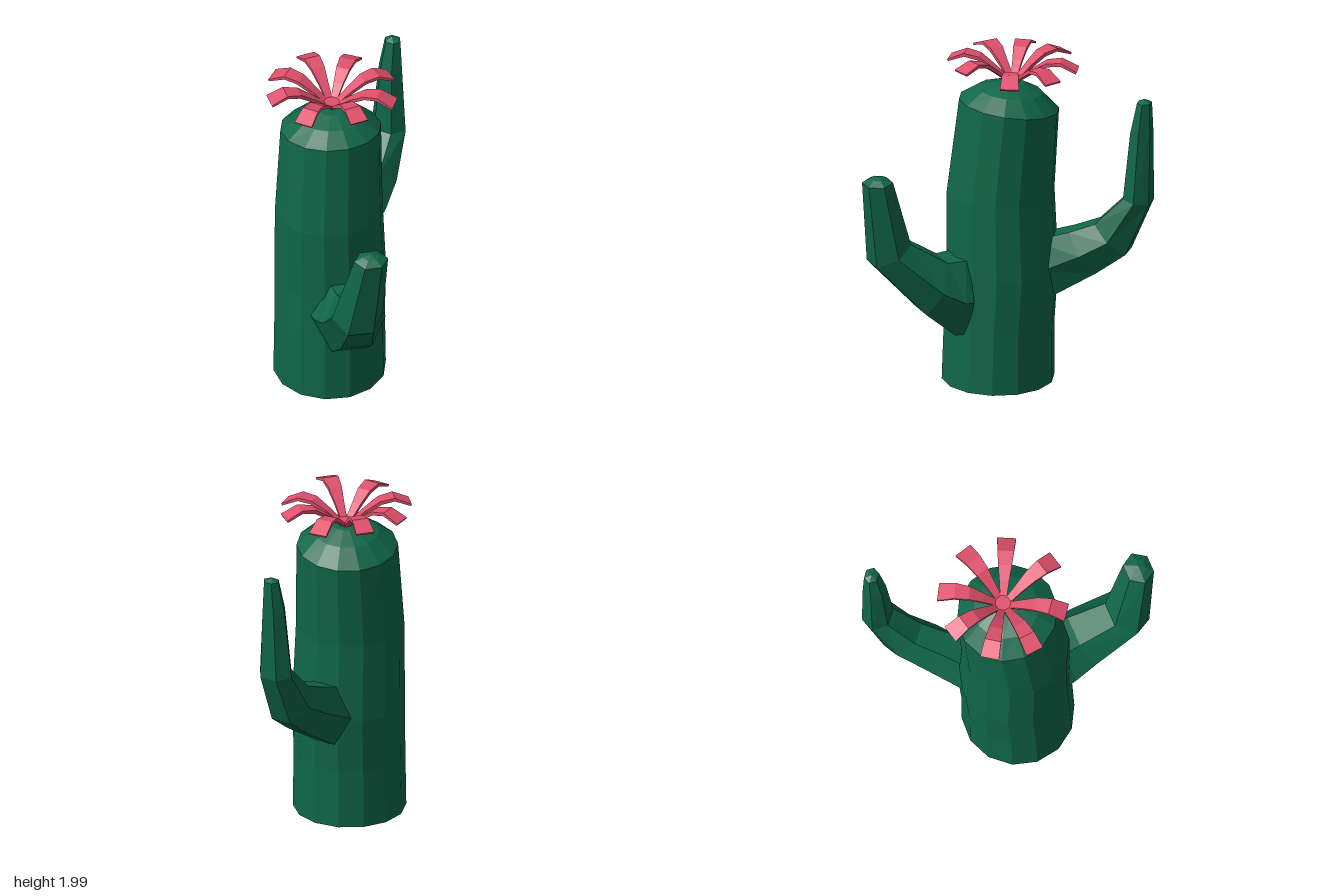
import * as THREE from 'three';

const rad = THREE.MathUtils.degToRad;

// Ring of n points around c, facing along azimuth az (from +x towards +z) and pitch, in degrees.
// w is the half width sideways, h the half height across the growth direction.
function ring(c, az, pitch, w, h, n, phase = 0) {
  const t = new THREE.Vector3(Math.cos(rad(az)), 0, Math.sin(rad(az)));
  const side = new THREE.Vector3(t.z, 0, -t.x);
  const up = new THREE.Vector3(0, Math.cos(rad(pitch)), 0).addScaledVector(t, -Math.sin(rad(pitch)));
  return Array.from({ length: n }, (_, j) => {
    const a = (j / n) * Math.PI * 2 + phase;
    return new THREE.Vector3(...c)
      .addScaledVector(side, Math.cos(a) * w)
      .addScaledVector(up, Math.sin(a) * h);
  });
}

// Skin joining successive rings, closed at both ends; tip may raise the end cap to a point
function loft(name, rings, material, tip) {
  const pos = [];
  const tri = (...pts) => pts.forEach((p) => pos.push(p.x, p.y, p.z));
  const middle = (r) => r.reduce((s, p) => s.add(p), new THREE.Vector3()).divideScalar(r.length);
  const n = rings[0].length;
  const last = rings[rings.length - 1];
  const start = middle(rings[0]);
  const end = tip ? new THREE.Vector3(...tip) : middle(last);
  for (let j = 0; j < n; j++) {
    const k = (j + 1) % n;
    for (let i = 0; i < rings.length - 1; i++) {
      const a = rings[i], b = rings[i + 1];
      tri(a[j], a[k], b[k]);
      tri(a[j], b[k], b[j]);
    }
    tri(start, rings[0][k], rings[0][j]);
    tri(end, last[j], last[k]);
  }
  const geo = new THREE.BufferGeometry();
  geo.setAttribute('position', new THREE.Float32BufferAttribute(pos, 3));
  geo.computeVertexNormals();
  const mesh = new THREE.Mesh(geo, material);
  mesh.name = name;
  return mesh;
}

export function createModel() {
  const group = new THREE.Group();
  group.name = 'cactus';
  const green = new THREE.MeshStandardMaterial({ name: 'cactus green', color: 0x10674a, flatShading: true });
  const pink = new THREE.MeshStandardMaterial({ name: 'petal pink', color: 0xe0506c, flatShading: true });

  // Trunk: centre, pitch, radius; slightly crooked with a tilted dome
  const trunk = [
    [[-0.175, 0, 0.17], 90, 0.327],
    [[-0.18, 0.35, 0.165], 90, 0.322],
    [[-0.19, 0.68, 0.15], 90, 0.325],
    [[-0.19, 1.15, 0.162], 90, 0.313],
    [[-0.215, 1.68, 0.12], 98, 0.293],
    [[-0.215, 1.765, 0.115], 96, 0.19],
    [[-0.215, 1.81, 0.11], 93, 0.08],
  ].map(([c, p, r]) => ring(c, 38, p, r, r, 14));
  group.add(loft('trunk', trunk, green, [-0.215, 1.82, 0.11]));

  // Arms: centre, pitch, half width, half height
  const leftArm = [
    [[0.05, 0.57, 0.28], 2, 0.2, 0.265],
    [[0.1, 0.575, 0.3], 8, 0.2, 0.262],
    [[0.22, 0.65, 0.375], 24, 0.185, 0.19],
    [[0.41, 0.875, 0.545], 62, 0.15, 0.14],
    [[0.525, 1.34, 0.55], 86, 0.1, 0.088],
    [[0.525, 1.365, 0.55], 88, 0.05, 0.045],
  ].map(([c, p, w, h]) => ring(c, 35, p, w, h, 6));
  group.add(loft('leftArm', leftArm, green, [0.525, 1.378, 0.55]));

  const backArm = [
    [[-0.31, 0.7, -0.08], 22, 0.14, 0.2],
    [[-0.36, 0.82, -0.31], 35, 0.14, 0.165],
    [[-0.41, 0.915, -0.465], 48, 0.13, 0.145],
    [[-0.455, 1.16, -0.61], 83, 0.11, 0.09],
    [[-0.46, 1.57, -0.63], 88, 0.075, 0.068],
    [[-0.46, 1.76, -0.648], 90, 0.05, 0.044],
  ].map(([c, p, w, h]) => ring(c, 254, p, w, h, 6));
  group.add(loft('backArm', backArm, green, [-0.465, 1.78, -0.645]));

  // Flower: eight arching petals around a small centre
  const flower = new THREE.Group();
  flower.name = 'flower';
  flower.position.set(-0.225, 0, 0.1);
  const centre = new THREE.Mesh(new THREE.CylinderGeometry(0.06, 0.04, 0.03, 8), pink);
  centre.name = 'flowerCentre';
  centre.position.y = 1.83;
  flower.add(centre);

  const petals = [[-115, -0.03], [-70, -0.02], [-29, -0.03], [21, 0.02],
    [72, 0], [119, 0], [160, -0.01], [202, -0.01]];
  for (const [az, lift] of petals) {
    // distance out, height, pitch, half width, half thickness
    const rings = [
      [0.03, 1.825, 45, 0.018, 0.008],
      [0.12, 1.895, 38, 0.028, 0.01],
      [0.2, 1.95, 25, 0.04, 0.011],
      [0.28, 1.968, -5, 0.048, 0.01],
      [0.375, 1.93, -25, 0.055, 0.006],
    ].map(([r, y, p, w, h], i) => ring(
      [Math.cos(rad(az)) * r, y + (lift * i) / 4, Math.sin(rad(az)) * r],
      az, p, w * Math.SQRT2, h * Math.SQRT2, 4, Math.PI / 4));
    flower.add(loft('petal', rings, pink));
  }
  group.add(flower);
  return group;
}
